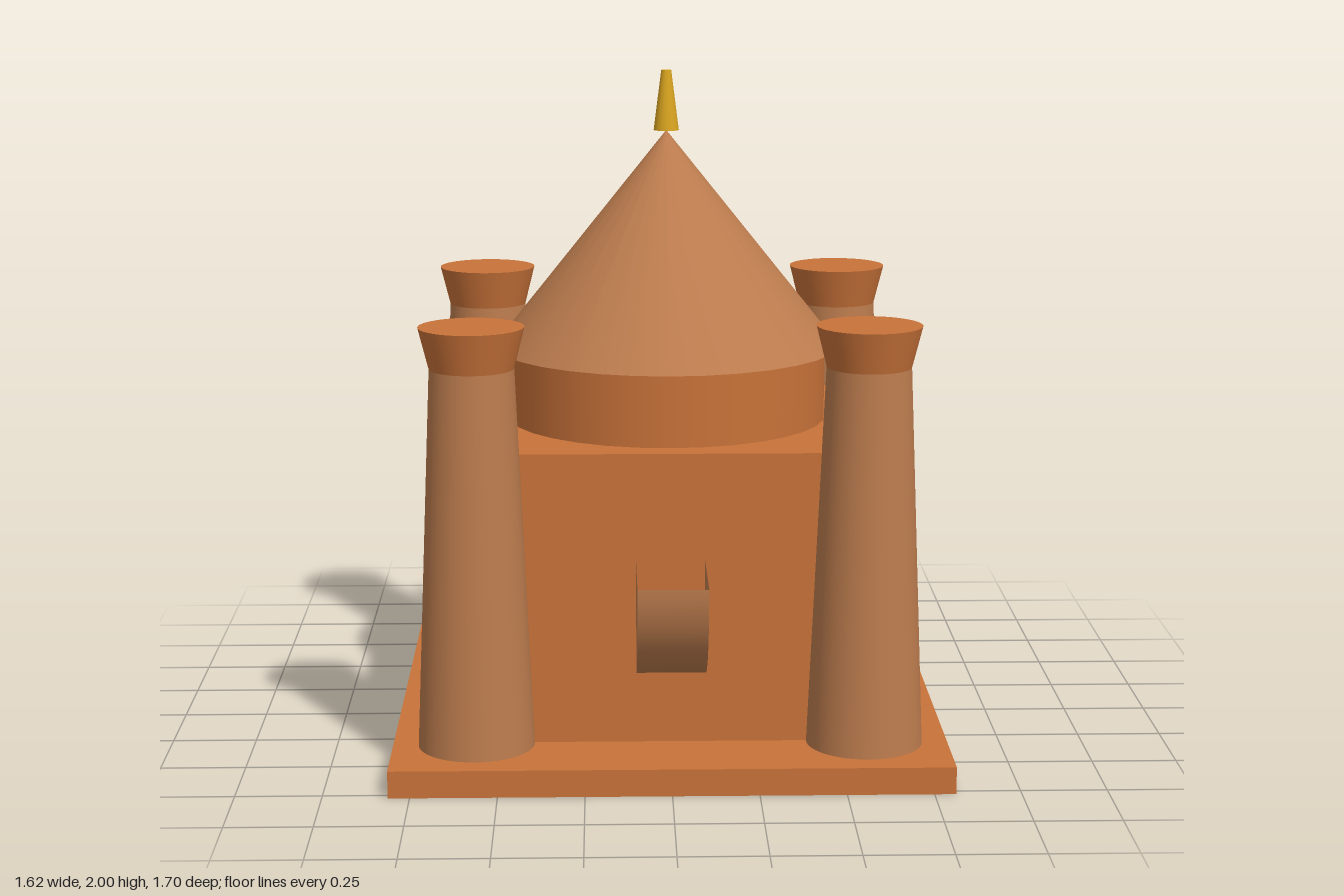
import * as THREE from 'three';

const clay = new THREE.MeshStandardMaterial({ color: 0xc87239 });
const paleClay = new THREE.MeshStandardMaterial({ color: 0xbc7c4e });
const paleClayOpen = new THREE.MeshStandardMaterial({ color: 0xbc7c4e, side: THREE.DoubleSide });
const gold = new THREE.MeshStandardMaterial({ color: 0xdaa520 });

const CZ = -0.036; // centre of the building; the balcony sticks out in front

function add(parent, name, geometry, material, x, y, z) {
  const mesh = new THREE.Mesh(geometry, material);
  mesh.name = name;
  mesh.position.set(x, y, z);
  parent.add(mesh);
  return mesh;
}

// Round part standing between heights y0 and y1
function round(parent, name, rBottom, rTop, y0, y1, material, segments = 32) {
  const geometry = new THREE.CylinderGeometry(rTop, rBottom, y1 - y0, segments);
  return add(parent, name, geometry, material, 0, (y0 + y1) / 2, 0);
}

// Box part standing between heights y0 and y1
function block(parent, name, width, y0, y1) {
  return add(parent, name, new THREE.BoxGeometry(width, y1 - y0, width), clay, 0, (y0 + y1) / 2, 0);
}

// Tapered corner tower with a flared capital
function makeTower(name, x, z) {
  const tower = new THREE.Group();
  tower.name = name;
  tower.position.set(x, 0, z);
  round(tower, 'towerShaft', 0.17, 0.122, 0.08, 1.2, paleClay, 48);
  round(tower, 'towerCapital', 0.122, 0.152, 1.2, 1.32, clay, 48);
  return tower;
}

// Hollow quarter-round balcony, open at the top and against the wall
function makeBalcony() {
  const r = 0.325, width = 0.2;
  const balcony = new THREE.Group();
  balcony.name = 'balcony';
  balcony.position.set(0, 0.63, 0.56 + CZ);
  const shell = new THREE.CylinderGeometry(r, r, width, 24, 1, true, 0, Math.PI / 2);
  shell.rotateZ(Math.PI / 2); // axis along x, arc from below to the front
  add(balcony, 'balconyShell', shell, paleClayOpen, 0, 0, 0);
  for (const side of [-1, 1]) {
    const cheek = new THREE.CircleGeometry(r, 24, Math.PI * 1.5, Math.PI / 2);
    cheek.rotateY(-Math.PI / 2);
    add(balcony, side > 0 ? 'balconyLeftCheek' : 'balconyRightCheek', cheek, paleClayOpen, side * width / 2, 0, 0);
  }
  // Turn the shell's arc to the lower front quadrant
  const p = shell.attributes.position;
  const n = shell.attributes.normal;
  for (let i = 0; i < p.count; i++) {
    p.setY(i, -Math.abs(p.getY(i)));
    p.setZ(i, Math.abs(p.getZ(i)));
    n.setY(i, -Math.abs(n.getY(i)));
    n.setZ(i, Math.abs(n.getZ(i)));
  }
  // Flip the winding if the faces ended up pointing inward
  const a = new THREE.Vector3(), b = new THREE.Vector3(), c = new THREE.Vector3();
  const idx = shell.index;
  a.fromBufferAttribute(p, idx.getX(0));
  b.fromBufferAttribute(p, idx.getX(1)).sub(a);
  c.fromBufferAttribute(p, idx.getX(2)).sub(a);
  if (b.cross(c).dot(new THREE.Vector3(0, a.y, a.z)) < 0) {
    for (let i = 0; i < idx.count; i += 3) {
      const t = idx.getX(i);
      idx.setX(i, idx.getX(i + 1));
      idx.setX(i + 1, t);
    }
  }
  return balcony;
}

export function createModel() {
  const model = new THREE.Group();
  model.name = 'domedTomb';

  const building = new THREE.Group();
  building.name = 'building';
  building.position.z = CZ;
  model.add(building);

  // Plinth and hall
  block(building, 'plinth', 1.624, 0, 0.08);
  block(building, 'hall', 1.12, 0.08, 0.945);

  // Drum, conical roof and finial
  round(building, 'drum', 0.485, 0.485, 0.945, 1.165, clay);
  add(building, 'roof', new THREE.ConeGeometry(0.526, 0.655, 32), paleClay, 0, 1.4925, 0);
  round(building, 'finial', 0.038, 0.015, 1.82, 2, gold, 16);

  // Corner towers
  for (const sx of [-1, 1]) {
    for (const sz of [-1, 1]) {
      const name = (sz > 0 ? 'front' : 'back') + (sx > 0 ? 'Left' : 'Right') + 'Tower';
      building.add(makeTower(name, sx * 0.568, sz * 0.568));
    }
  }

  model.add(makeBalcony());
  return model;
}
